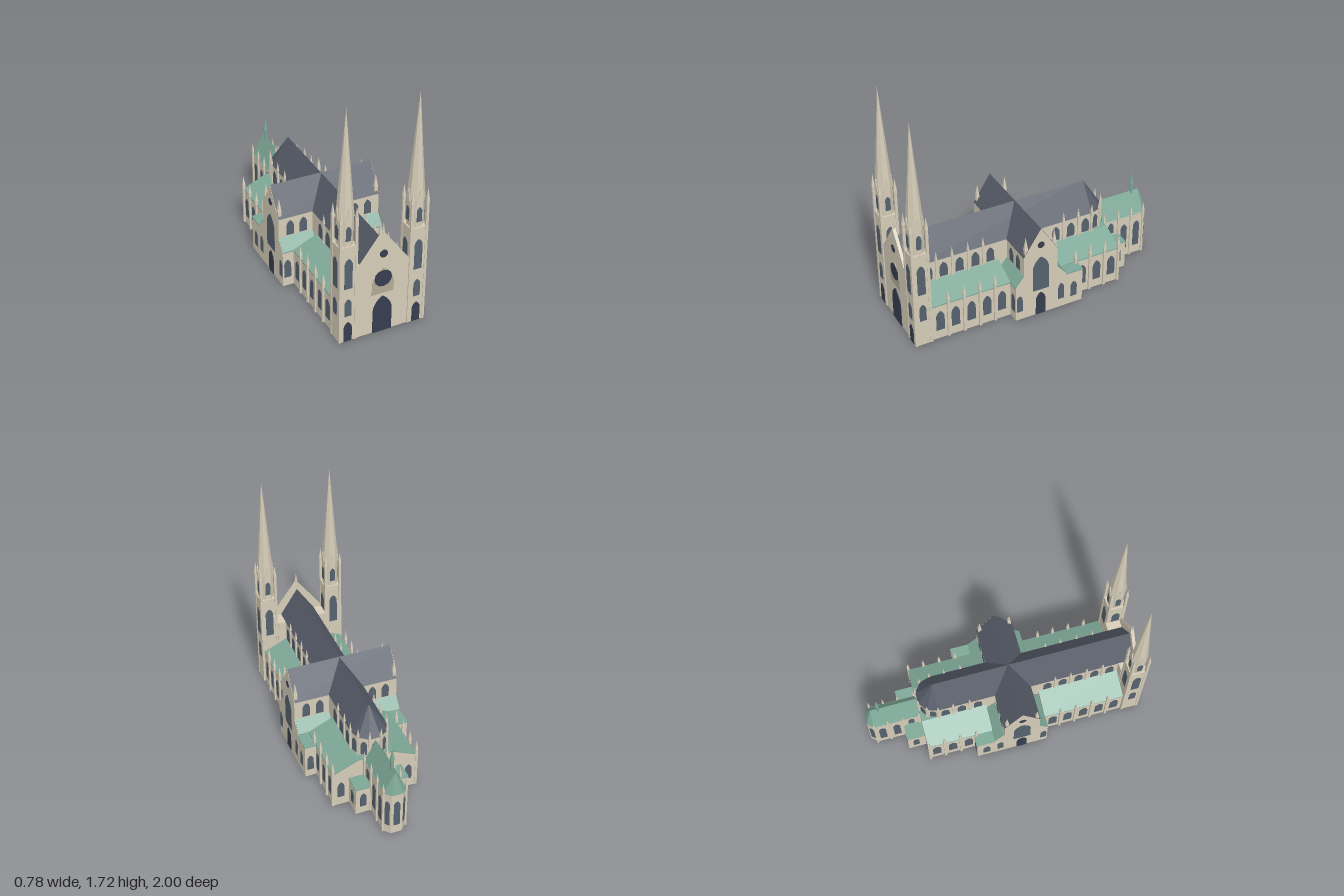
import * as THREE from 'three';
import { ConvexGeometry } from 'three/addons/geometries/ConvexGeometry.js';

const mat = (color) => new THREE.MeshStandardMaterial({ color, flatShading: true });
const SLATE = mat(0x555b67), GLASS = mat(0x56626f), DARK = mat(0x363d4e);
const COPPER = mat(0x7da797), TRIM = mat(0xb2aa96), STONE = mat(0xd6cdb9);
STONE.side = THREE.DoubleSide; // hollow walls
const SIDES = [-1, 1];

// removes the floor of a solid, leaving a hollow shell standing on the ground
function hollow(geo) {
  const src = geo.index ? geo.toNonIndexed() : geo;
  src.computeBoundingBox();
  const floor = src.boundingBox.min.y + 1e-4, p = src.attributes.position, kept = [];
  for (let i = 0; i < p.count; i += 3) {
    if (Math.max(p.getY(i), p.getY(i + 1), p.getY(i + 2)) < floor) continue;
    for (let k = i; k < i + 3; k++) kept.push(p.getX(k), p.getY(k), p.getZ(k));
  }
  const out = new THREE.BufferGeometry();
  out.setAttribute('position', new THREE.Float32BufferAttribute(kept, 3));
  out.computeVertexNormals();
  return out;
}

export function createModel() {
  const root = new THREE.Group();

  const add = (name, geo, material, x = 0, y = 0, z = 0, ry = 0, parent = root) => {
    const m = new THREE.Mesh(geo, material);
    m.name = name;
    m.position.set(x, y, z);
    m.rotation.y = ry;
    parent.add(m);
    return m;
  };
  // box given by its ranges on each axis; stone ones are hollow
  const block = (name, x0, x1, y0, y1, z0, z1, material = STONE) => {
    const g = new THREE.BoxGeometry(Math.abs(x1 - x0), y1 - y0, z1 - z0);
    add(name, material === STONE ? hollow(g) : g, material, (x0 + x1) / 2, (y0 + y1) / 2, (z0 + z1) / 2);
  };
  const shapeOf = (pts) => new THREE.Shape(pts.map(([x, y]) => new THREE.Vector2(x, y)));
  const extrude = (shape, depth) => new THREE.ExtrudeGeometry(shape, { depth, bevelEnabled: false, curveSegments: 6 });
  const sweep = (pts, depth, material) => {
    const g = extrude(shapeOf(pts), depth);
    return material === STONE ? hollow(g) : g;
  };
  // profile in (x, y) swept from z0 to z1
  const alongZ = (name, pts, z0, z1, material) => add(name, sweep(pts, z1 - z0, material), material, 0, 0, z0);
  // profile in (z, y) swept from x0 to x1
  const alongX = (name, pts, x0, x1, material) =>
    add(name, sweep(pts.map(([z, y]) => [-z, y]), x1 - x0, material), material, x0, 0, 0, Math.PI / 2);
  // ground plan in (x, -z) raised to height h as a hollow shell
  const raise = (name, plan, h) => add(name, hollow(extrude(shapeOf(plan), h).rotateX(-Math.PI / 2)), STONE);

  // pointed-arch panel set through the wall, standing on y0, facing +z before turning by ry
  const arch = (name, w, y0, y1, x, z, ry = 0, material = GLASS, d = 0.003, parent = root) => {
    const spring = y1 - y0 - w * 0.866, s = new THREE.Shape();
    s.moveTo(-w / 2, 0);
    s.lineTo(w / 2, 0);
    s.lineTo(w / 2, spring);
    s.absarc(-w / 2, spring, w, 0, Math.PI / 3, false);
    s.absarc(w / 2, spring, w, Math.PI * 2 / 3, Math.PI, false);
    add(name, extrude(s, 2 * d).translate(0, 0, -d), material, x, y0, z, ry, parent);
  };
  const roundWindow = (name, r, x, y, z, ry, d) => {
    const s = new THREE.Shape();
    s.absarc(0, 0, r, 0, Math.PI * 2, false);
    add(name, extrude(s, 2 * d).translate(0, 0, -d), DARK, x, y, z, ry);
  };
  // square shaft with a pyramid cap
  const pinnacle = (name, w, x, z, y0, y1, y2, ry = 0, parent = root) => {
    const g = new THREE.Group();
    g.name = name;
    add('shaft', new THREE.BoxGeometry(w, y1 - y0, w), STONE, 0, (y0 + y1) / 2, 0, 0, g);
    add('cap', new THREE.ConeGeometry(w * 0.8, y2 - y1, 4), STONE, 0, (y1 + y2) / 2, 0, Math.PI / 4, g);
    g.position.set(x, 0, z);
    g.rotation.y = ry;
    parent.add(g);
  };

  // nave with a five-sided apse, and their slate roofs
  const navePlan = [[-0.13, -0.97], [0.13, -0.97]];
  for (let i = 0; i <= 5; i++) {
    const a = i * Math.PI / 5, x = Math.cos(a), d = Math.sin(a);
    navePlan.push([0.13 * x, 0.48 + 0.13 * d]);
    pinnacle('apsePinnacle', 0.014, 0.133 * x, -0.48 - 0.133 * d, 0.33, 0.53, 0.6, a);
  }
  raise('naveWalls', navePlan, 0.52);
  alongZ('naveRoof', [[-0.132, 0.518], [0.132, 0.518], [0, 0.72]], -0.48, 0.97, SLATE);
  add('apseRoof', new THREE.ConeGeometry(0.132, 0.202, 5, 1, false, Math.PI / 2, Math.PI), SLATE, 0, 0.619, -0.48);
  for (let i = 0; i < 5; i++) {
    const a = Math.PI / 2 + (i + 0.5) * Math.PI / 5, r = 0.13 * Math.cos(Math.PI / 10);
    arch('apseWindow', 0.045, 0.375, 0.49, r * Math.sin(a), -0.48 + r * Math.cos(a), a);
  }

  // transept with its own low aisles
  alongX('transeptWalls', [[-0.13, 0], [0.265, 0], [0.265, 0.28], [0.2, 0.36], [0.2, 0.52], [0.07, 0.72],
    [-0.06, 0.52], [-0.06, 0.36], [-0.13, 0.28]], -0.388, 0.388, STONE);
  alongX('transeptRoof', [[-0.064, 0.517], [0.204, 0.517], [0.07, 0.724]], -0.386, 0.386, SLATE);
  for (const f of SIDES) {
    const z = (d) => 0.0675 + f * d;
    alongX('transeptAisleRoof', [[z(0.2), 0.276], [z(0.2), 0.285], [z(0.13), 0.367], [z(0.13), 0.345]], -0.386, 0.386, COPPER);
  }

  for (const s of SIDES) {
    const out = s * Math.PI / 2;
    // aisles with copper lean-to roofs, stopping against the transept
    for (const [z0, z1, inner] of [[0.265, 0.86, 0.13], [-0.61, -0.13, 0.08]]) {
      const mirror = (pts) => pts.map(([x, y]) => [s * x, y]);
      alongZ('aisleWalls', mirror([[inner, 0], [0.305, 0], [0.305, 0.28], [0.13, 0.36], [inner, 0.36]]), z0, z1, STONE);
      alongZ('aisleRoof', mirror([[0.308, 0.276], [0.308, 0.284], [0.13, 0.366], [0.04, 0.366], [0.04, 0.357], [0.13, 0.357]]),
        z0, z1, COPPER);
    }

    // aisle and clerestory bays
    for (const z of [0.8, 0.685, 0.565, 0.445, 0.33, -0.31, -0.43, -0.55])
      arch('aisleWindow', 0.062, 0.07, 0.23, s * 0.305, z, out);
    for (const z of [0.8, 0.685, 0.565, 0.445, 0.33, -0.19, -0.31, -0.43])
      arch('clerestoryWindow', 0.06, 0.375, 0.49, s * 0.13, z, out);
    for (const z of [0.74, 0.62, 0.5, 0.385, -0.25, -0.37, -0.49, -0.605]) {
      pinnacle('aisleButtress', 0.018, s * 0.309, z, 0, 0.32, 0.4);
      if (z > -0.48) pinnacle('clerestoryButtress', 0.014, s * 0.133, z, 0.33, 0.53, 0.6);
    }
    arch('aisleEndWindow', 0.05, 0.07, 0.2, s * 0.25, -0.61, Math.PI);

    // transept end wall
    arch('transeptWindow', 0.125, 0.21, 0.49, s * 0.388, 0.07, out);
    arch('transeptDoor', 0.076, 0, 0.185, s * 0.388, 0.07, out, DARK);
    roundWindow('transeptRoundWindow', 0.026, s * 0.388, 0.59, 0.07, out, 0.003);
    for (const z of [0.235, -0.093]) arch('transeptAisleWindow', 0.045, 0.07, 0.205, s * 0.388, z, out);
    for (const z of [0.18, -0.04]) pinnacle('transeptPinnacle', 0.024, s * 0.372, z, 0.5, 0.57, 0.675);
    arch('transeptAisleWindow', 0.052, 0.07, 0.215, s * 0.352, 0.265);
    for (const x of [0.2, 0.3]) {
      arch('transeptClerestoryWindow', 0.055, 0.375, 0.49, s * x, 0.2);
      arch('transeptClerestoryWindow', 0.055, 0.375, 0.49, s * x, -0.06, Math.PI);
    }

    // sacristy behind the transept
    block('sacristy', s * 0.305, s * 0.387, 0, 0.264, -0.265, -0.13);
    block('sacristyRoof', s * 0.305, s * 0.39, 0.264, 0.272, -0.267, -0.13, COPPER);
    arch('sacristyWindow', 0.05, 0.06, 0.185, s * 0.387, -0.195, out);
    arch('sacristyWindow', 0.045, 0.06, 0.185, s * 0.347, -0.265, Math.PI);

    // low side chapel
    block('sideChapel', s * 0.08, s * 0.193, 0, 0.215, -0.74, -0.61);
    block('sideChapelRoof', s * 0.08, s * 0.195, 0.215, 0.223, -0.742, -0.61, COPPER);
    arch('sideChapelWindow', 0.045, 0.06, 0.175, s * 0.193, -0.68, out);
    arch('sideChapelWindow', 0.045, 0.06, 0.175, s * 0.138, -0.74, Math.PI);

    // east chapel bays
    arch('eastChapelWindow', 0.045, 0.24, 0.33, s * 0.08, -0.68, out);
    for (const z of [-0.793, -0.9]) arch('eastChapelWindow', 0.052, 0.07, 0.285, s * 0.08, z, out);
    for (const z of [-0.62, -0.74, -0.848, -0.952]) pinnacle('eastChapelButtress', 0.014, s * 0.083, z, 0, 0.37, 0.44);
    arch('eastChapelWindow', 0.036, 0.07, 0.285, s * 0.06, -0.973, Math.PI - s * Math.atan2(0.046, 0.04));

    addTower(s);
  }

  // east chapel body, hipped copper roof and small spirelet
  const plan = [[-0.08, 0.61], [0.08, 0.61], [0.08, 0.95], [0.04, 0.996], [-0.04, 0.996], [-0.08, 0.95]];
  raise('eastChapelWalls', plan, 0.35);
  const roofPts = plan.map(([x, d]) => new THREE.Vector3(x * 1.02, 0.345, -d * 1.002));
  for (const z of [-0.61, -0.95]) roofPts.push(new THREE.Vector3(0, 0.507, z));
  add('eastChapelRoof', new ConvexGeometry(roofPts), COPPER);
  arch('eastChapelWindow', 0.045, 0.07, 0.285, 0, -0.996, Math.PI);
  add('spireletShaft', new THREE.CylinderGeometry(0.013, 0.013, 0.09, 6), COPPER, 0, 0.53, -0.893);
  add('spireletCap', new THREE.ConeGeometry(0.017, 0.1, 6), COPPER, 0, 0.62, -0.893);

  // west front between the towers
  block('frontBay', -0.19, 0.19, 0, 0.52, 0.86, 0.97);
  alongZ('frontGable', [[-0.19, 0], [0.19, 0], [0.19, 0.53], [0, 0.79], [-0.19, 0.53]], 0.965, 0.988, STONE);
  arch('frontDoor', 0.14, 0, 0.285, 0, 0.988, 0, DARK, 0.006);
  arch('roseFrame', 0.16, 0.31, 0.51, 0, 0.988, 0, TRIM, 0.004);
  roundWindow('roseWindow', 0.064, 0, 0.43, 0.988, 0, 0.007);
  roundWindow('gableWindow', 0.029, 0, 0.622, 0.988, 0, 0.005);
  add('gableFinial', new THREE.ConeGeometry(0.012, 0.07, 4), STONE, 0, 0.82, 0.977);
  add('gableFinialBase', new THREE.ConeGeometry(0.012, 0.03, 4), STONE, 0, 0.77, 0.977).rotation.x = Math.PI;

  // square tower, octagonal belfry, spire and corner pinnacles
  function addTower(s) {
    const t = new THREE.Group();
    t.name = s > 0 ? 'leftTower' : 'rightTower';
    t.position.set(s * 0.255, 0, 0.93);
    root.add(t);
    add('towerBody', hollow(new THREE.BoxGeometry(0.124, 0.75, 0.124)), STONE, 0, 0.375, 0, 0, t);
    add('belfry', new THREE.CylinderGeometry(0.058, 0.058, 0.21, 8), STONE, 0, 0.855, 0, Math.PI / 8, t);
    add('spire', new THREE.ConeGeometry(0.061, 0.77, 8), STONE, 0, 1.335, 0, Math.PI / 8, t);
    const gablet = extrude(shapeOf([[-0.024, 0], [0.024, 0], [0, 0.085]]), 0.02);
    for (let i = 0; i < 4; i++) {
      const a = i * Math.PI / 2, sx = Math.sin(a), cz = Math.cos(a);
      const panel = (name, w, y0, y1, r, m = GLASS) => arch(name, w, y0, y1, sx * r, cz * r, a, m, 0.003, t);
      panel('towerWindow', 0.058, 0.425, 0.66, 0.062);
      panel('belfryWindow', 0.037, 0.79, 0.9, 0.0535);
      if (cz > -0.5) panel('towerLowerWindow', 0.05, 0.205, 0.34, 0.062);
      if (i === 0) panel('towerDoor', 0.06, 0, 0.155, 0.062, DARK);
      add('gablet', gablet, STONE, sx * 0.039, 0.945, cz * 0.039, a, t);
      const b = a + Math.PI / 4, c = 0.056 * Math.SQRT2;
      pinnacle('cornerPinnacle', 0.019, Math.sin(b) * c, Math.cos(b) * c, 0, 0.94, 1.035, 0, t);
    }
  }

  return root;
}
